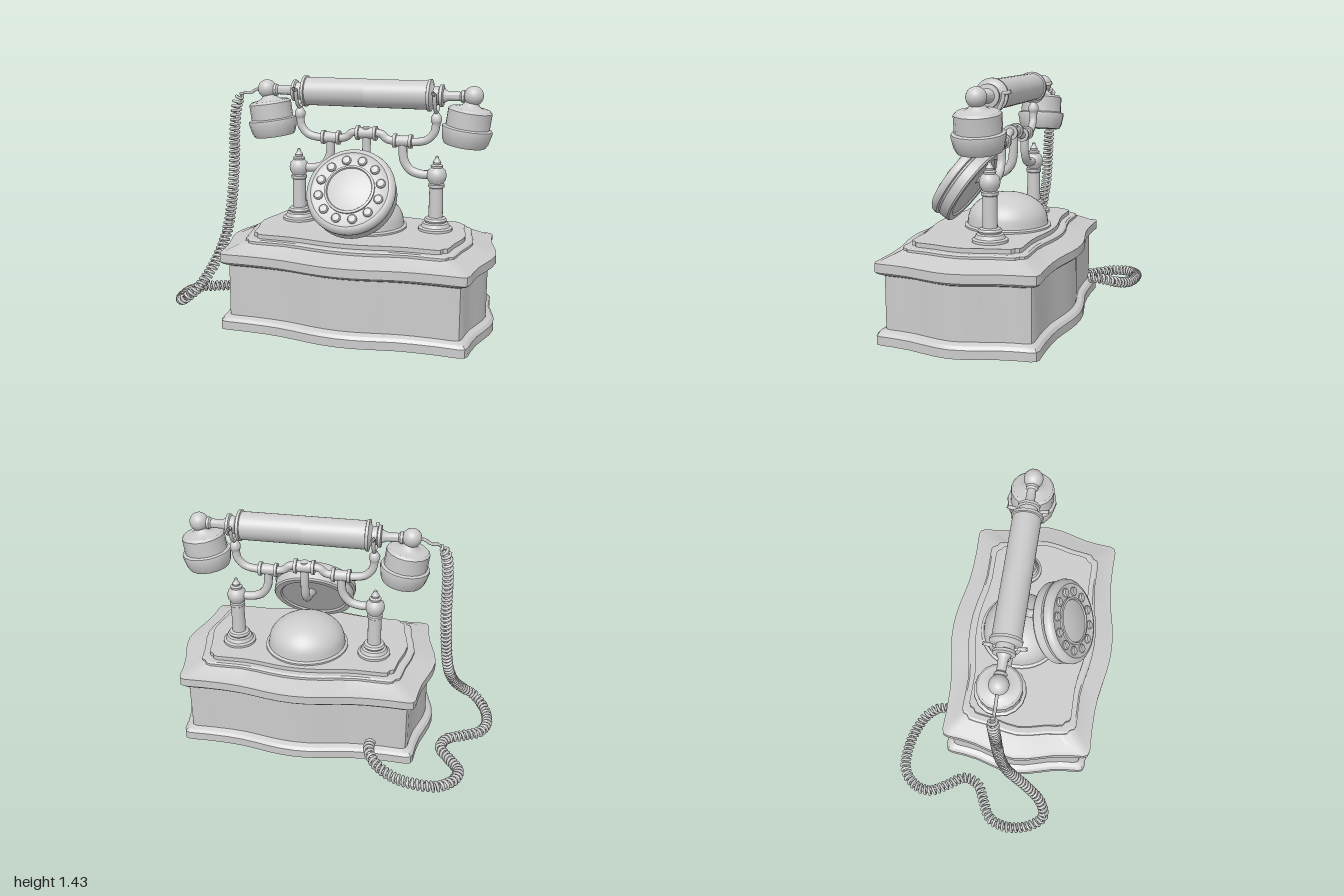
import * as THREE from 'three';
import { toCreasedNormals } from 'three/addons/utils/BufferGeometryUtils.js';

const material = new THREE.MeshStandardMaterial({ color: 0xcccccc, side: THREE.DoubleSide });
const V = (p) => new THREE.Vector3(...p);

function add(parent, name, geometry, pos = [0, 0, 0], rot = [0, 0, 0]) {
  const m = new THREE.Mesh(geometry, material);
  m.name = name;
  m.position.set(...pos);
  m.rotation.set(...rot);
  parent.add(m);
  return m;
}

// Turned part: profile of [radius, height] from bottom to top
const lathe = (profile, seg = 32) =>
  toCreasedNormals(new THREE.LatheGeometry(profile.map((p) => new THREE.Vector2(...p)), seg), 0.6);

const tube = (pts, r, seg = 28) =>
  new THREE.TubeGeometry(new THREE.CatmullRomCurve3(pts.map(V)), seg, r, 10);

// Mirror one quarter of a plan outline (from +z round to +x) into a full loop
function fullLoop(q) {
  const half = [...q, ...q.slice(0, -1).reverse().map(([x, z]) => [x, -z])];
  return [...half, ...half.slice(1, -1).reverse().map(([x, z]) => [-x, z])];
}

// Stack of the outline at [inset, height] levels, capped at both ends
function loft(quarter, levels) {
  const loop = fullLoop(quarter), n = loop.length;
  const w = quarter[quarter.length - 1][0], d = quarter[0][1];
  const rows = [[null, levels[0][1]], ...levels, [null, levels[levels.length - 1][1]]];
  const pos = [], idx = [];
  rows.forEach(([inset, y]) => {
    const sx = inset === null ? 0 : (w - inset) / w;
    const sz = inset === null ? 0 : (d - inset) / d;
    loop.forEach(([x, z]) => pos.push(x * sx, y, z * sz));
  });
  for (let r = 0; r < rows.length - 1; r++) {
    for (let i = 0; i < n; i++) {
      const a = r * n + i, b = r * n + (i + 1) % n;
      if (r > 0) idx.push(a, b, a + n);
      if (r < rows.length - 2) idx.push(b, b + n, a + n);
    }
  }
  const g = new THREE.BufferGeometry();
  g.setAttribute('position', new THREE.Float32BufferAttribute(pos, 3));
  g.setIndex(idx);
  return toCreasedNormals(g, 0.45);
}

function buildBase(parent) {
  const plan = [[0, 0.515], [0.08, 0.511], [0.16, 0.5], [0.25, 0.482], [0.34, 0.466], [0.44, 0.458], [0.56, 0.456],
    [0.68, 0.46], [0.71, 0.45], [0.722, 0.42], [0.728, 0.34], [0.742, 0.25], [0.768, 0.16], [0.79, 0.08], [0.8, 0]];
  add(parent, 'baseBox', loft(plan, [[0, 0.01], [0, 0.06], [0.015, 0.078], [0.045, 0.09], [0.045, 0.39],
    [0.015, 0.402], [0, 0.415], [0, 0.465], [0.025, 0.468], [0.12, 0.512]]), [0, 0, 0.105]);
  const tier = [[0, 0.4], [0.08, 0.396], [0.16, 0.385], [0.26, 0.365], [0.36, 0.353], [0.55, 0.355], [0.575, 0.345],
    [0.585, 0.32], [0.61, 0.305], [0.618, 0.27], [0.63, 0.18], [0.655, 0.08], [0.665, 0]];
  add(parent, 'steppedTop', loft(tier, [[0, 0.48], [0, 0.525], [0.012, 0.533], [0.045, 0.533], [0.045, 0.558]]),
    [0, 0, 0.105]);
}

function buildDome(parent) {
  const profile = [[0, 0.55], [0.255, 0.55], [0.255, 0.568], [0.238, 0.575]];
  for (let i = 0; i <= 10; i++) {
    const a = (i / 10) * Math.PI / 2;
    profile.push([0.235 * Math.cos(a), 0.595 + 0.16 * Math.sin(a)]);
  }
  add(parent, 'dome', lathe(profile, 40), [0, 0, 0.035]);
}

function buildDial(parent) {
  const dial = new THREE.Group();
  dial.name = 'dial';
  dial.position.set(0, 0.77, 0.24);
  dial.rotation.x = 0.96;
  parent.add(dial);
  add(dial, 'dialBody', lathe([[0, 0.01], [0.2, 0.01], [0.21, 0], [0.243, 0], [0.25, 0.01], [0.25, 0.065], [0.24, 0.07],
    [0.24, 0.08], [0.257, 0.084], [0.259, 0.1], [0.254, 0.118], [0.24, 0.132], [0.225, 0.136], [0.213, 0.128],
    [0.145, 0.128], [0.145, 0.14], [0.132, 0.143], [0.128, 0.135], [0.09, 0.143], [0.045, 0.148], [0, 0.15]], 48));
  for (let i = 0; i < 12; i++) {
    const a = (i + 0.5) * Math.PI / 6;
    add(dial, 'button', lathe([[0.027, 0.12], [0.027, 0.136], [0.021, 0.144], [0, 0.147]], 14),
      [0.181 * Math.cos(a), 0, 0.181 * Math.sin(a)]);
  }
}

const collarProfile = (h, r) => [[0, -h], [r, -h], [r, -h + 0.018], [r * 0.78, -h + 0.02],
  [r * 0.78, h - 0.02], [r, h - 0.018], [r, h], [0, h]];
const alongX = [0, 0, -Math.PI / 2];

// One side of the cradle: post, curved arms, collar and fork
function buildCradleSide(side) {
  add(side, 'post', lathe([[0, 0.55], [0.1, 0.55], [0.1, 0.572], [0.085, 0.58], [0.075, 0.6], [0.062, 0.606],
    [0.068, 0.618], [0.06, 0.63], [0.042, 0.636], [0.04, 0.81], [0.047, 0.815], [0.047, 0.832], [0.04, 0.838],
    [0.054, 0.86], [0.058, 0.885], [0.052, 0.912], [0.034, 0.93], [0.036, 0.942], [0.022, 0.95], [0.025, 0.962],
    [0.012, 0.98], [0.01, 0.993], [0, 1]]), [0.425, 0, 0]);
  add(side, 'lowerArm', tube([[0.4, 0.885, 0], [0.33, 0.885, 0], [0.27, 0.905, 0], [0.23, 0.96, 0], [0.22, 1.06, 0]], 0.026));
  add(side, 'collar', lathe(collarProfile(0.056, 0.042), 20), [0.22, 1.075, 0], alongX);
  add(side, 'innerArm', tube([[0.2, 1.075, 0], [0.15, 1.075, 0], [0.12, 1.085, 0], [0.09, 1.11, 0], [0.03, 1.115, 0]], 0.024));
  add(side, 'upperArm', tube([[0.23, 1.073, 0], [0.3, 1.073, 0], [0.365, 1.09, 0], [0.405, 1.135, 0], [0.415, 1.19, 0]], 0.024));
  add(side, 'forkSocket', lathe([[0, 1.17], [0.022, 1.17], [0.026, 1.19], [0.032, 1.2], [0.032, 1.22], [0.024, 1.235],
    [0.014, 1.25], [0, 1.255]], 18), [0.415, 0, 0]);
  add(side, 'fork', tube([-1, -0.82, -0.66, -0.62, -0.4, 0, 0.4, 0.62, 0.66, 0.82, 1].map((t, i) =>
    [0.415, [1.372, 1.362, 1.362, 1.33, 1.275, 1.25][i < 6 ? i : 10 - i], t * 0.118]), 0.011, 44));
}

// One half of the handset, with its cup hanging from the end ball
function buildHandsetSide(side) {
  add(side, 'handle', lathe([[0.083, 0], [0.083, 0.365], [0.092, 0.368], [0.092, 0.384], [0.066, 0.388], [0.052, 0.4],
    [0.052, 0.43], [0.064, 0.436], [0.064, 0.452], [0.04, 0.456], [0.028, 0.48], [0.026, 0.55], [0.036, 0.56],
    [0.036, 0.575], [0, 0.58]]), [0, 1.347, 0], alongX);
  add(side, 'endBall', new THREE.SphereGeometry(0.056, 24, 16), [0.625, 1.352, 0]);
  add(side, 'cup', lathe([[0, -0.255], [0.07, -0.265], [0.095, -0.285], [0.12, -0.285], [0.134, -0.26], [0.146, -0.2],
    [0.144, -0.185], [0.127, -0.178], [0.127, -0.085], [0.113, -0.072], [0.07, -0.066], [0.05, -0.055],
    [0.036, -0.035], [0, -0.03]], 16), [0.62, 1.352, 0], [0, 0, -0.14]);
}

function buildCord(parent) {
  const path = new THREE.CatmullRomCurve3([[-0.59, 1.325, 0], [-0.63, 1.27, 0], [-0.65, 1.12, 0.01], [-0.655, 0.9, 0.02],
    [-0.67, 0.65, 0.04], [-0.69, 0.45, 0.09], [-0.73, 0.27, 0.21], [-0.79, 0.15, 0.31], [-0.87, 0.08, 0.34],
    [-0.94, 0.045, 0.25], [-0.962, 0.04, 0.1], [-0.92, 0.04, 0], [-0.82, 0.04, -0.055], [-0.72, 0.04, -0.11],
    [-0.69, 0.04, -0.2], [-0.75, 0.04, -0.3], [-0.81, 0.05, -0.41], [-0.79, 0.06, -0.51], [-0.71, 0.065, -0.585],
    [-0.6, 0.07, -0.6], [-0.45, 0.08, -0.575], [-0.33, 0.11, -0.51], [-0.275, 0.14, -0.43], [-0.27, 0.14, -0.35]].map(V));
  path.arcLengthDivisions = 1000;
  const turns = 112, n = turns * 9;
  const frames = path.computeFrenetFrames(n, false);
  const pts = [[-0.47, 1.352, 0], [-0.51, 1.345, 0], [-0.54, 1.325, 0], [-0.565, 1.322, 0]].map(V);
  for (let i = 0; i <= n; i++) {
    const a = (i / n) * turns * Math.PI * 2;
    const r = 0.026 * Math.min(1, i / 18);
    pts.push(path.getPointAt(i / n)
      .addScaledVector(frames.normals[i], r * Math.cos(a))
      .addScaledVector(frames.binormals[i], r * Math.sin(a)));
  }
  const coil = new THREE.CatmullRomCurve3(pts);
  coil.arcLengthDivisions = 5000;
  add(parent, 'coiledCord', new THREE.TubeGeometry(coil, n + 40, 0.0095, 6));
}

export function createModel() {
  const model = new THREE.Group();
  model.name = 'telephone';
  const body = new THREE.Group();
  body.name = 'body';
  body.position.x = 0.19;
  model.add(body);

  buildBase(body);
  buildDome(body);
  buildDial(body);

  // Middle of the cradle and the neck that carries the dial
  add(body, 'middleCollar', lathe(collarProfile(0.062, 0.044), 20), [0, 1.112, 0], alongX);
  add(body, 'middleKnob', lathe([[0.026, 1.12], [0.026, 1.145], [0.015, 1.152], [0, 1.153]], 16));
  add(body, 'dialNeck', tube([[0, 1.11, 0], [0, 1, 0], [0, 0.92, 0.015], [0, 0.872, 0.06], [0, 0.855, 0.13], [0, 0.82, 0.24]], 0.026));

  for (const [name, turn] of [['left', 0], ['right', Math.PI]]) {
    const cradle = new THREE.Group();
    cradle.name = name + 'Cradle';
    const handset = new THREE.Group();
    handset.name = name + 'Handset';
    cradle.rotation.y = handset.rotation.y = turn;
    buildCradleSide(cradle);
    buildHandsetSide(handset);
    body.add(cradle, handset);
  }

  buildCord(model);
  return model;
}
